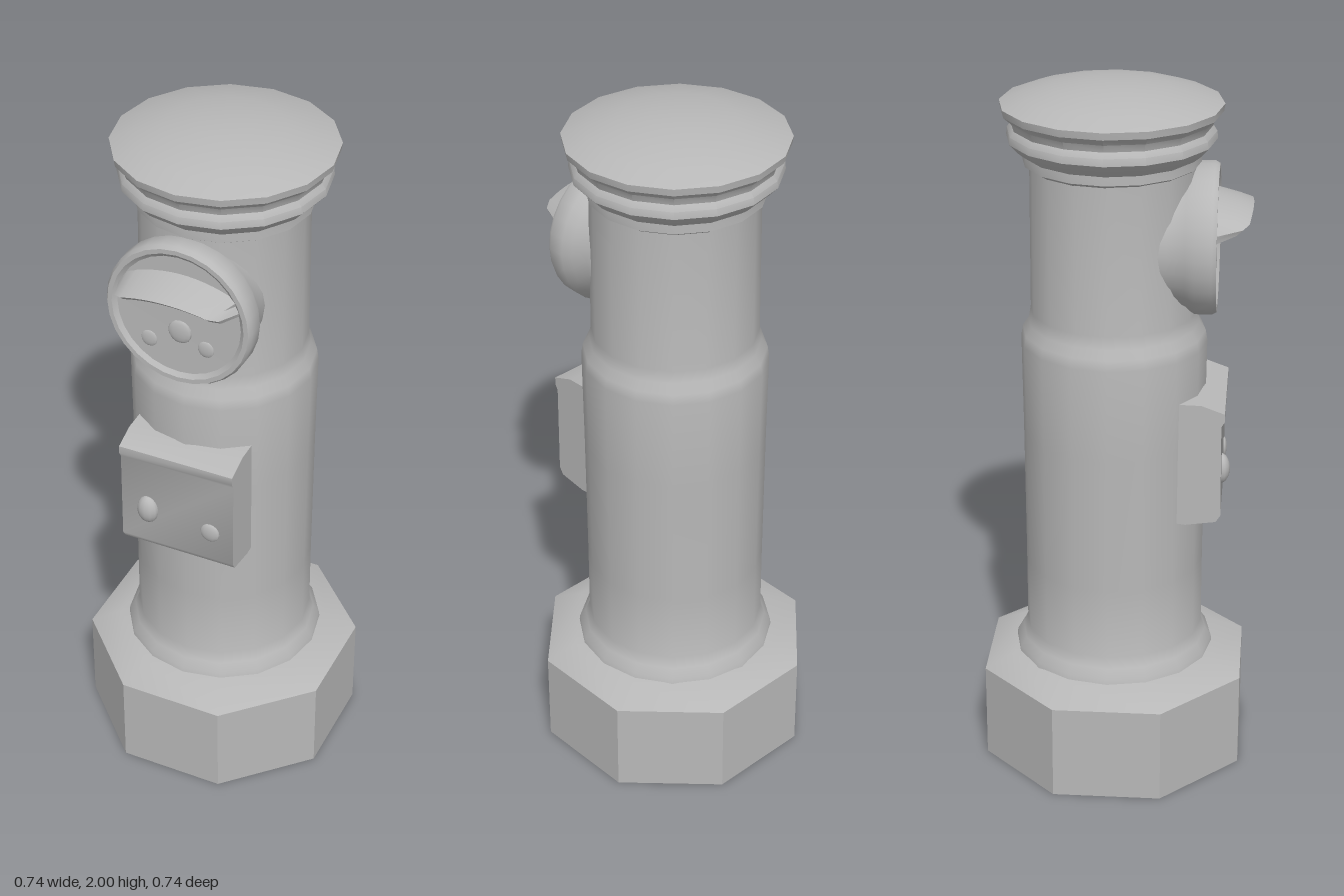
import * as THREE from 'three';
import { toCreasedNormals } from 'three/addons/utils/BufferGeometryUtils.js';

export function createModel() {
  const model = new THREE.Group();
  model.name = 'pillarBox';
  const stone = new THREE.MeshStandardMaterial({ color: 0xb8b8b8 });
  stone.name = 'plain grey';

  const add = (name, geo, x = 0, y = 0, z = 0) => {
    const mesh = new THREE.Mesh(geo, stone);
    mesh.name = name;
    mesh.position.set(x, y, z);
    model.add(mesh);
    return mesh;
  };
  const lathe = (profile, sides, start = 0, crease = 0.6) => toCreasedNormals(
    new THREE.LatheGeometry(profile.map(([r, y]) => new THREE.Vector2(r, y)), sides, start), crease);

  // Octagonal plinth with a sloped top
  add('base', lathe([[0, 0], [0.4, 0], [0.4, 0.28], [0.31, 0.32], [0, 0.325]], 8, Math.PI / 8), 0, 0, -0.007);

  // Column: flared foot, lower barrel, shoulder and narrower neck
  add('column', lathe([
    [0.29, 0.3], [0.285, 0.335], [0.268, 0.36], [0.255, 0.39], [0.255, 0.6], [0.257, 1.0],
    [0.26, 1.27], [0.255, 1.3], [0.238, 1.325], [0.232, 1.36], [0.23, 1.8],
  ], 16), 0, 0, -0.012);

  // Moulded cap with a shallow dome
  add('cap', lathe([
    [0.22, 1.77], [0.243, 1.785], [0.243, 1.81], [0.262, 1.825], [0.285, 1.85], [0.283, 1.87],
    [0.272, 1.885], [0.278, 1.905], [0.3, 1.925], [0.303, 1.945], [0.24, 1.968], [0.16, 1.987],
    [0.08, 1.997], [0, 2.0],
  ], 16), 0, 0, -0.018);

  // Round mouth drum facing forward, with a raised rim
  const drum = lathe([
    [0.17, 0], [0.185, 0.14], [0.195, 0.19], [0.21, 0.215], [0.21, 0.262], [0.203, 0.274],
    [0.19, 0.274], [0.178, 0.264], [0, 0.262],
  ], 28);
  drum.rotateX(Math.PI / 2);
  add('mouthDrum', drum, -0.003, 1.57, 0);

  // Arched hood over the slot, lofted from cross-sections along x
  const pos = [], idx = [], steps = 14;
  for (let i = 0; i <= steps; i++) {
    const t = (i / steps) * 2 - 1;
    const a = Math.abs(t), y = 1.675 - 0.04 * t * t;
    const tip = a < 0.83 ? 0.368 - 0.018 * t * t : 0.355 - (a - 0.83) * 0.48;
    for (const [py, pz] of [[y + 0.028, 0.25], [y + 0.008, tip - 0.035], [y - 0.004, tip], [y - 0.02, tip - 0.018], [y - 0.036, 0.25]])
      pos.push(t * 0.172, py, pz);
    if (i < steps) for (let k = 0; k < 5; k++) {
      const p = i * 5 + k, q = i * 5 + (k + 1) % 5;
      idx.push(p, q, p + 5, q, q + 5, p + 5);
    }
  }
  for (let k = 1; k < 4; k++) {
    const e = steps * 5;
    idx.push(0, k + 1, k, e, e + k, e + k + 1);
  }
  const hood = new THREE.BufferGeometry();
  hood.setAttribute('position', new THREE.Float32BufferAttribute(pos, 3));
  hood.setIndex(idx);
  add('slotHood', toCreasedNormals(hood, 0.6));

  // Soft bumps on the mouth plate
  for (const [x, y, r] of [[-0.09, 1.475, 0.025], [0.075, 1.485, 0.025], [0, 1.52, 0.035]])
    add('plateBump', new THREE.SphereGeometry(r, 12, 8), x, y, 0.262).scale.z = 0.25;

  // Collection door: side profile (z, y) with a lip on top, extruded across x
  const side = new THREE.Shape([
    [0.1, 0.79], [0.2, 0.778], [0.285, 0.79], [0.298, 0.81], [0.296, 1.08], [0.305, 1.095],
    [0.305, 1.118], [0.24, 1.142], [0.1, 1.145],
  ].map(([z, y]) => new THREE.Vector2(z, y)));
  const door = new THREE.ExtrudeGeometry(side, { depth: 0.34, bevelEnabled: false });
  door.rotateY(-Math.PI / 2);
  door.translate(0.17, 0, 0);
  add('door', toCreasedNormals(door, 0.6));

  // Door knob and keyhole boss
  add('doorKnob', new THREE.SphereGeometry(0.034, 12, 10), -0.09, 0.92, 0.295).scale.set(0.95, 1.3, 0.75);
  add('keyholeBoss', new THREE.SphereGeometry(0.03, 12, 8), 0.1, 0.9, 0.296).scale.z = 0.35;

  return model;
}
